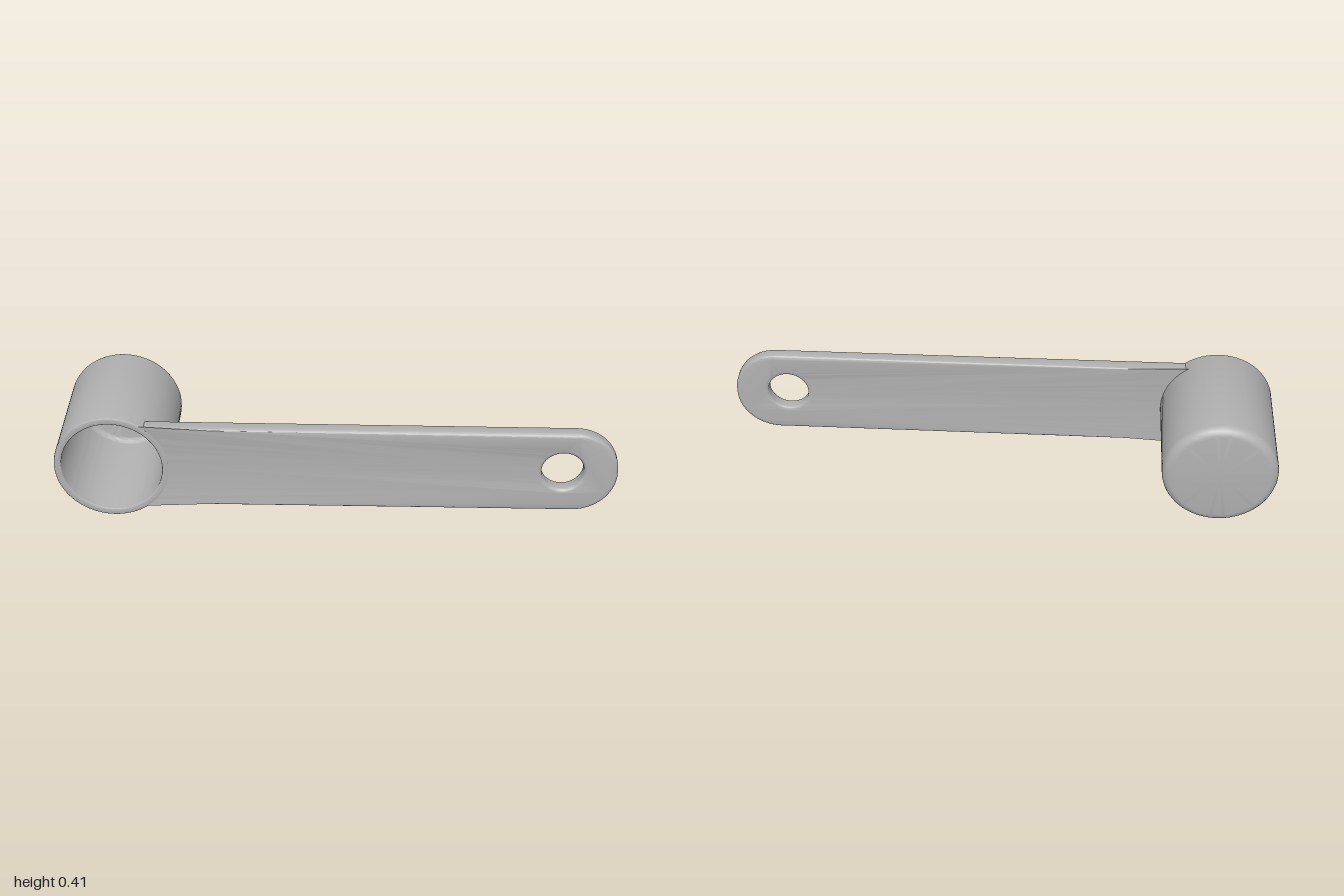
import * as THREE from 'three';
import { toCreasedNormals } from 'three/addons/utils/BufferGeometryUtils.js';

const CUP = { x: -0.794, y: 0.207, r: 0.206, inner: 0.18, back: -0.232, front: 0.232, floor: -0.205 };

// quarter-round profile points about (cx, cy)
function arc(cx, cy, r, from, to, steps = 6) {
  const pts = [];
  for (let i = 0; i <= steps; i++) {
    const a = from + (to - from) * i / steps;
    pts.push(new THREE.Vector2(cx + r * Math.cos(a), cy + r * Math.sin(a)));
  }
  return pts;
}

function cupGeometry() {
  const { r, inner, back, front, floor } = CUP, H = Math.PI / 2;
  const f = 0.034, g = 0.02, e = 0.005;
  const profile = [
    new THREE.Vector2(0, back),
    ...arc(r - f, back + f, f, -H, 0),            // rounded outer base
    ...arc(r - e, front - e, e, 0, H, 3),         // softened rim
    ...arc(inner + e, front - e, e, H, 2 * H, 3),
    ...arc(inner - g, floor + g, g, 0, -H),       // rounded inner floor
    new THREE.Vector2(0, floor),
  ];
  const geo = new THREE.LatheGeometry(profile, 96);
  geo.rotateX(H);
  return toCreasedNormals(geo, 0.7);
}

function handleGeometry() {
  const top = 0.373, bottom = 0.05, corner = 0.155, bevel = 0.015, thick = 0.054;
  const seat = 0.19; // handle root sits inside the cup wall
  const a0 = Math.asin((bottom - CUP.y) / seat), a1 = Math.asin((top - CUP.y) / seat);
  const shape = new THREE.Shape();
  shape.moveTo(CUP.x + seat * Math.cos(a0), bottom);
  shape.lineTo(1 - corner, bottom);
  shape.absarc(1 - corner, bottom + corner, corner, -Math.PI / 2, 0, false);
  shape.absarc(1 - corner, top - corner, corner, 0, Math.PI / 2, false);
  shape.lineTo(CUP.x + seat * Math.cos(a1), top);
  shape.absarc(CUP.x, CUP.y, seat, a1, a0, true);

  // hanging hole
  const hole = new THREE.Path();
  hole.absarc(0.805, 0.216, 0.075, 0, Math.PI * 2, true);
  shape.holes.push(hole);

  const geo = new THREE.ExtrudeGeometry(shape, {
    depth: thick - 2 * bevel, bevelEnabled: true, bevelThickness: bevel,
    bevelSize: bevel, bevelOffset: -bevel, bevelSegments: 5, curveSegments: 24,
  });
  // shallower rounding on the back edge
  const p = geo.attributes.position;
  for (let i = 0; i < p.count; i++) {
    const z = p.getZ(i) + bevel;
    p.setZ(i, z < bevel + 1e-5 ? z * 0.55 : z);
  }
  geo.translate(0, 0, CUP.front - thick);
  return toCreasedNormals(geo, 0.6);
}

export function createModel() {
  const group = new THREE.Group();
  group.name = 'measuringScoop';
  const grey = new THREE.MeshStandardMaterial({ color: 0xb0b0b0 });
  grey.name = 'grey';

  const cup = new THREE.Mesh(cupGeometry(), grey);
  cup.name = 'cup';
  cup.position.set(CUP.x, CUP.y, 0);

  const handle = new THREE.Mesh(handleGeometry(), grey);
  handle.name = 'handle';

  group.add(cup, handle);
  return group;
}
